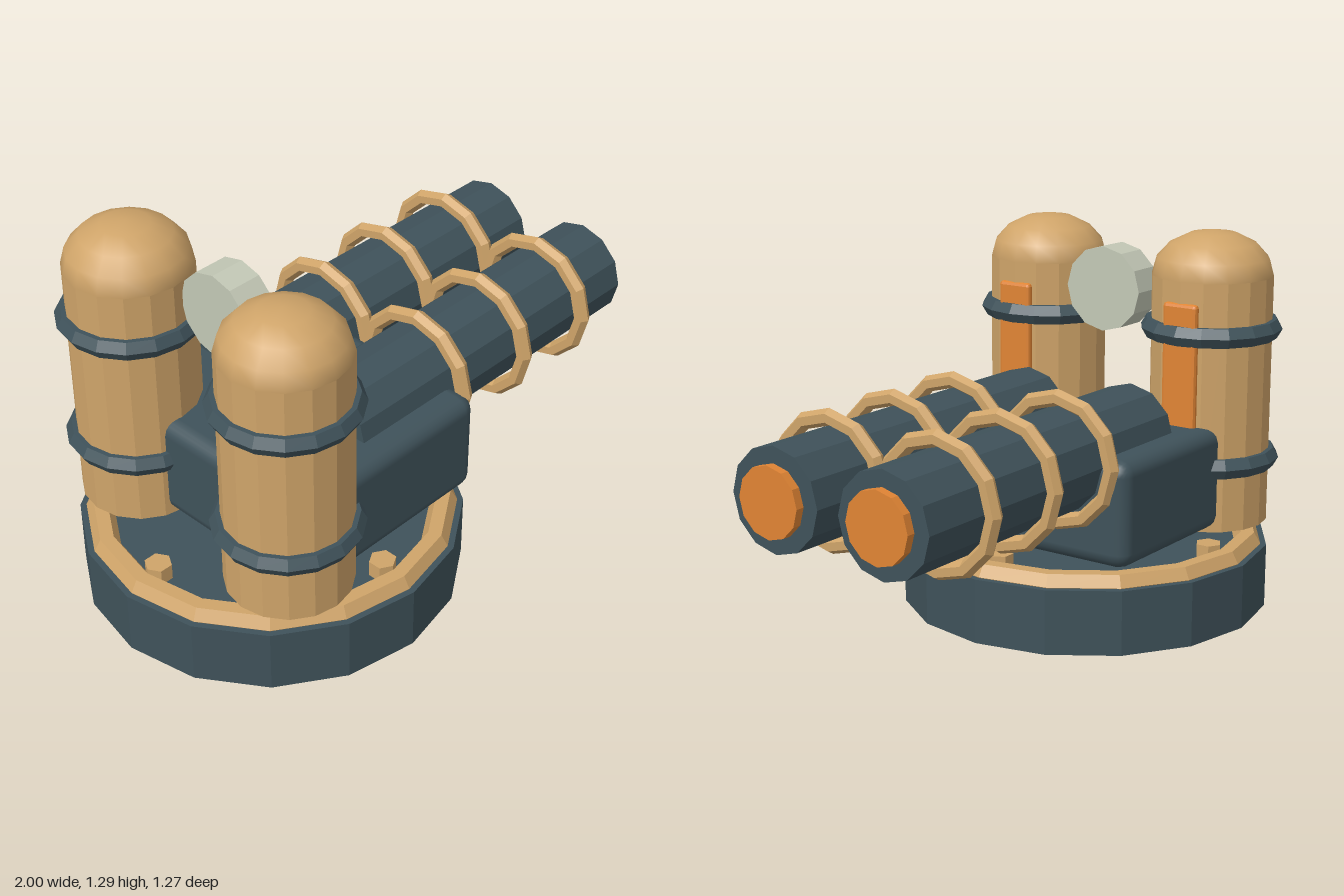
import * as THREE from 'three';
import { RoundedBoxGeometry } from 'three/addons/geometries/RoundedBoxGeometry.js';

const material = (color, flatShading = true) => new THREE.MeshStandardMaterial({ color, flatShading });
const dark = material(0x3f525a);
const darkSmooth = material(0x3f525a, false);
const tan = material(0xcfa469);
const tanSmooth = material(0xcfa469, false);
const orange = material(0xe08434);
const pale = material(0xc3c8b6);

function add(parent, name, geometry, mat, x, y, z) {
  const mesh = new THREE.Mesh(geometry, mat);
  mesh.name = name;
  mesh.position.set(x, y, z);
  parent.add(mesh);
  return mesh;
}

const upright = (r, h, sides) => new THREE.CylinderGeometry(r, r, h, sides);
const alongX = (r, h, sides) => upright(r, h, sides).rotateZ(-Math.PI / 2);
const flatRing = (r, t, sides) => new THREE.TorusGeometry(r, t, 6, sides).rotateX(Math.PI / 2);
const ringAlongX = (r, t, sides) => new THREE.TorusGeometry(r, t, 6, sides).rotateY(Math.PI / 2);

// Round base with a rim and four bolts
function makeBase() {
  const base = new THREE.Group();
  base.name = 'base';
  base.position.x = -0.365;
  add(base, 'baseDrum', upright(0.635, 0.22, 16), dark, 0, 0.11, 0);
  add(base, 'baseRim', flatRing(0.57, 0.045, 16), tan, 0, 0.222, 0);
  for (let i = 0; i < 4; i++) {
    const a = (i * Math.PI) / 2;
    const bolt = add(base, 'bolt', upright(0.045, 0.06, 6), tan, Math.sin(a) * 0.5, 0.245, Math.cos(a) * 0.5);
    bolt.rotation.y = a;
  }
  return base;
}

// Upright domed tank with two bands and a front strip
function makeTank(name, z) {
  const tank = new THREE.Group();
  tank.name = name;
  tank.position.set(-0.62, 0, z);
  add(tank, 'tankShell', upright(0.208, 0.855, 16), tan, 0, 0.7075, 0);
  const dome = new THREE.SphereGeometry(0.208, 16, 4, 0, Math.PI * 2, 0, Math.PI / 2).scale(1, 0.73, 1);
  add(tank, 'tankDome', dome, tanSmooth, 0, 1.135, 0);
  for (const y of [0.505, 0.955]) add(tank, 'tankBand', flatRing(0.205, 0.038, 16), dark, 0, y, 0);
  add(tank, 'tankStrip', new RoundedBoxGeometry(0.05, 0.7, 0.13, 1, 0.012), orange, 0.19, 0.714, 0);
  return tank;
}

// Horizontal barrel with three hoops and a glowing muzzle
function makeBarrel(name, z) {
  const barrel = new THREE.Group();
  barrel.name = name;
  barrel.position.set(0, 0.622, z);
  add(barrel, 'barrelTube', alongX(0.17, 1.29, 12), dark, 0.325, 0, 0);
  for (const x of [0.105, 0.41, 0.718]) add(barrel, 'barrelHoop', ringAlongX(0.206, 0.028, 12), tan, x, 0, 0);
  add(barrel, 'muzzle', alongX(0.116, 0.06, 12), orange, 0.97, 0, 0);
  return barrel;
}

export function createModel() {
  const model = new THREE.Group();
  model.name = 'turret';
  model.add(makeBase());
  // Housing that carries the barrels
  add(model, 'housing', new RoundedBoxGeometry(0.79, 0.355, 0.94, 2, 0.05), darkSmooth, -0.288, 0.468, 0);
  for (const [side, s] of [['left', 1], ['right', -1]]) {
    model.add(makeTank(side + 'Tank', s * 0.34));
    model.add(makeBarrel(side + 'Barrel', s * 0.21));
  }
  // Sensor disc between the tanks
  add(model, 'sensorDisc', alongX(0.147, 0.12, 12), pale, -0.52, 1.07, 0);
  return model;
}
